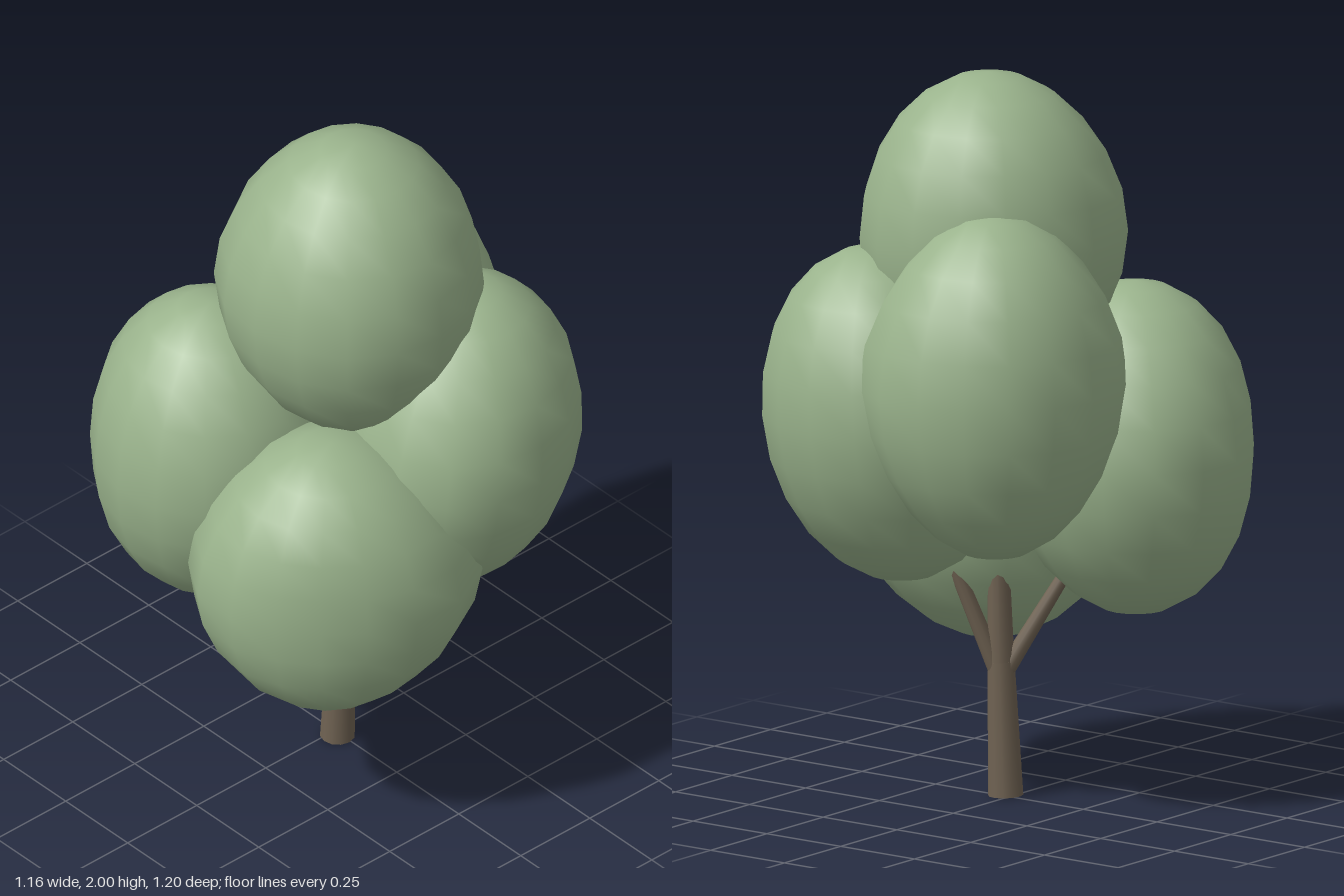
import * as THREE from 'three';
import { mergeVertices } from 'three/addons/utils/BufferGeometryUtils.js';

const leafGreen = new THREE.MeshStandardMaterial({ name: 'leafGreen', color: 0x9ab38c });
const barkBrown = new THREE.MeshStandardMaterial({ name: 'barkBrown', color: 0x6f6252 });

// Egg-shaped clump of leaves: leans sideways with height.
// Each bulge [x, z, amount] swells (or, if negative, flattens) the side facing that way.
function clump({ name, centre, radii, lean = [0, 0], bulges }) {
  let geo = new THREE.SphereGeometry(1, 16, 12);
  geo.deleteAttribute('uv');
  geo.deleteAttribute('normal');
  geo = mergeVertices(geo, 1e-4);
  const pos = geo.attributes.position;
  const v = new THREE.Vector3();
  const sides = bulges.map(([x, z, amount]) => ({ dir: new THREE.Vector3(x, 0, z).normalize(), amount }));
  for (let i = 0; i < pos.count; i++) {
    v.fromBufferAttribute(pos, i);
    let swell = 1;
    for (const { dir, amount } of sides) swell += amount * Math.max(0, v.dot(dir)) ** 4;
    pos.setXYZ(
      i,
      v.x * swell * radii[0] + v.y * lean[0],
      v.y * radii[1],
      v.z * swell * radii[2] + v.y * lean[1],
    );
  }
  geo.computeVertexNormals();
  const mesh = new THREE.Mesh(geo, leafGreen);
  mesh.name = name;
  mesh.position.set(...centre);
  return mesh;
}

// Tapered limb between two points
function limb(name, from, to, r0, r1, sides = 10) {
  const a = new THREE.Vector3(...from);
  const b = new THREE.Vector3(...to);
  const mesh = new THREE.Mesh(new THREE.CylinderGeometry(r1, r0, a.distanceTo(b), sides), barkBrown);
  mesh.name = name;
  mesh.position.copy(a).add(b).multiplyScalar(0.5);
  mesh.quaternion.setFromUnitVectors(new THREE.Vector3(0, 1, 0), b.sub(a).normalize());
  return mesh;
}

export function createModel() {
  const tree = new THREE.Group();
  tree.name = 'tree';

  // Trunk, with its upper part hidden among the leaves
  const wood = new THREE.Group();
  wood.name = 'wood';
  wood.add(
    limb('trunk', [-0.007, 0, 0.018], [-0.002, 0.37, 0.03], 0.048, 0.037, 12),
    limb('upperTrunk', [-0.002, 0.36, 0.03], [0.01, 0.85, 0.035], 0.037, 0.024, 12),
    limb('frontLeftBranch', [0.005, 0.34, 0.035], [0.11, 0.75, 0.16], 0.025, 0.017),
    limb('backRightBranch', [-0.005, 0.34, 0.02], [-0.12, 0.64, -0.12], 0.025, 0.017),
    limb('frontRightBranch', [-0.005, 0.34, 0.035], [-0.1, 0.52, 0.14], 0.022, 0.015),
  );
  tree.add(wood);

  // Five overlapping leaf clumps
  const crown = new THREE.Group();
  crown.name = 'crown';
  const clumps = [
    {
      name: 'topLeaves', centre: [0.02, 1.55, 0.053], radii: [0.35, 0.45, 0.355],
      bulges: [[1, -1, -0.06], [-1, 1, 0.04], [-1, -1, 0.07]],
    },
    {
      name: 'frontLeftLeaves', centre: [0.21, 1.065, 0.25], radii: [0.345, 0.465, 0.342], lean: [0.035, 0.02],
      bulges: [[1, -1, 0.05], [-1, 1, 0.1]],
    },
    {
      name: 'frontRightLeaves', centre: [-0.215, 0.79, 0.22], radii: [0.365, 0.413, 0.35],
      bulges: [[-1, 1, -0.13], [1, 1, 0.15], [-1, -1, 0.07]],
    },
    {
      name: 'backLeftLeaves', centre: [0.24, 1.197, -0.135], radii: [0.331, 0.477, 0.325],
      bulges: [[1, 1, 0.14], [-1, -1, 0.1]],
    },
    {
      name: 'backRightLeaves', centre: [-0.23, 0.96, -0.25], radii: [0.334, 0.46, 0.345],
      bulges: [[-1, -1, -0.05], [1, -1, 0.08], [-1, 1, 0.03], [1, 1, 0.08]],
    },
  ];
  clumps.forEach((c) => crown.add(clump(c)));
  tree.add(crown);

  return tree;
}
